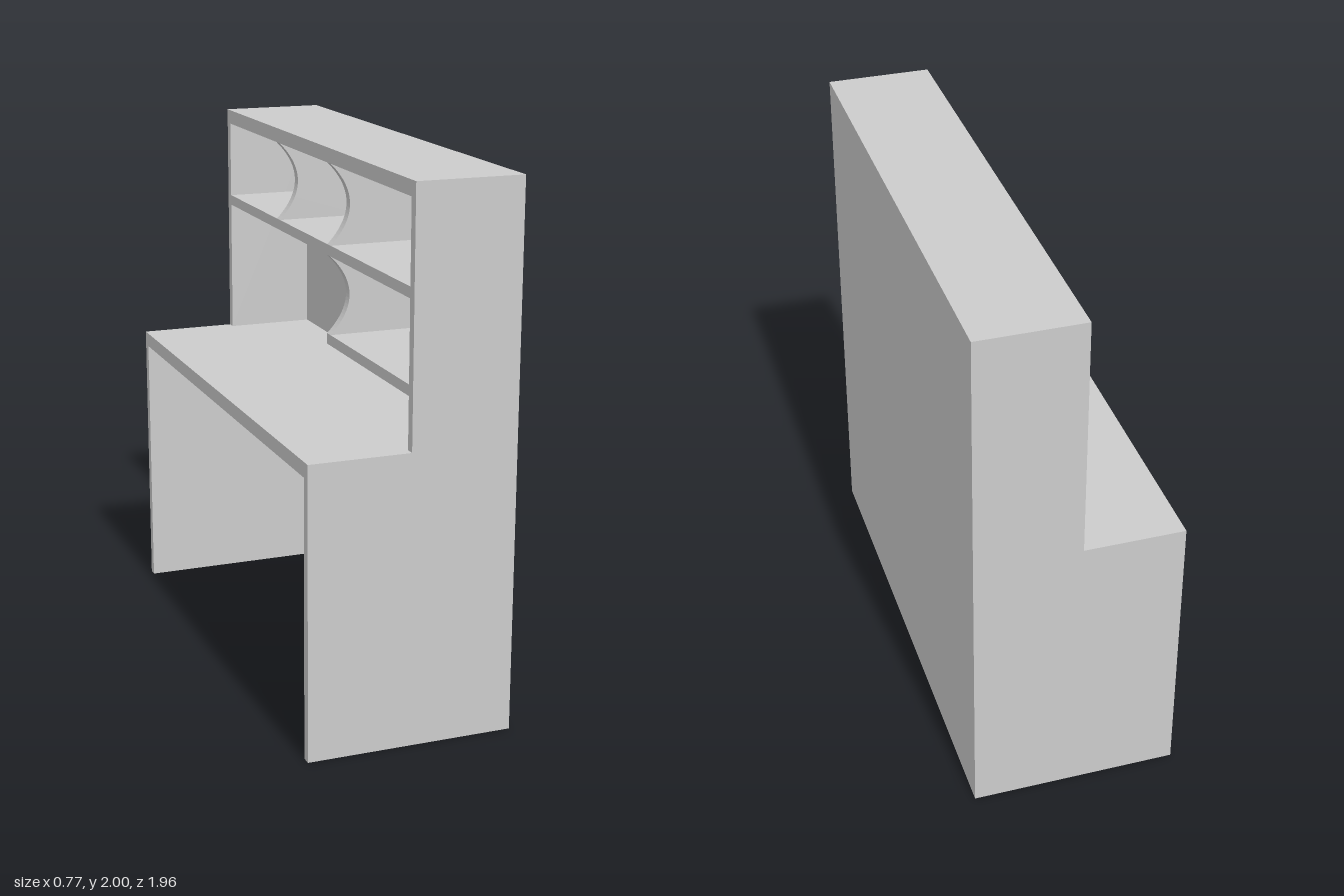
import * as THREE from 'three';

const material = new THREE.MeshStandardMaterial({ color: 0xcccccc });

// Main dimensions; the desk opens toward -x
const BACK = 0.385, HUTCH = -0.01, DESK = -0.385;
const HALF = 0.98, SIDE = 0.035, PANEL = 0.055;
const INNER = HALF - SIDE, WALL = BACK - PANEL;

export function createModel() {
  const group = new THREE.Group();

  const add = (name, geometry) => {
    const mesh = new THREE.Mesh(geometry, material);
    mesh.name = name;
    group.add(mesh);
    return mesh;
  };

  // Box given by its limits on each axis
  const board = (name, x0, x1, y0, y1, z0, z1) =>
    add(name, new THREE.BoxGeometry(x1 - x0, y1 - y0, z1 - z0))
      .position.set((x0 + x1) / 2, (y0 + y1) / 2, (z0 + z1) / 2);

  // Upright cut from an x-y outline, starting at z
  const upright = (name, shape, z, thickness) =>
    add(name, new THREE.ExtrudeGeometry(shape, { depth: thickness, bevelEnabled: false, curveSegments: 24 }))
      .position.z = z;

  // Stepped side panels
  const outline = new THREE.Shape([
    [DESK, 0], [BACK, 0], [BACK, 2], [HUTCH, 2], [HUTCH, 1.08], [DESK, 1.08],
  ].map(([x, y]) => new THREE.Vector2(x, y)));
  upright('leftSidePanel', outline, INNER, SIDE);
  upright('rightSidePanel', outline, -HALF, SIDE);

  // Full-width boards
  board('backPanel', WALL, BACK, 0, 2, -INNER, INNER);
  board('topBoard', HUTCH, WALL, 1.945, 2, -INNER, INNER);
  board('desktop', DESK, WALL, 1.025, 1.08, -INNER, INNER);
  board('upperShelf', HUTCH, WALL, 1.605, 1.645, -INNER, INNER);

  // Short shelf below, on one side only
  board('lowerShelf', HUTCH, WALL, 1.27, 1.31, 0.18, INNER);

  // Dividers with a concave front edge
  const divider = (name, z, y0, y1) => {
    const shape = new THREE.Shape();
    shape.moveTo(HUTCH, y0);
    shape.lineTo(WALL, y0);
    shape.lineTo(WALL, y1);
    shape.lineTo(HUTCH, y1);
    shape.quadraticCurveTo(HUTCH + 0.15, (y0 + y1) / 2, HUTCH, y0);
    upright(name, shape, z, 0.035);
  };
  divider('upperDividerLeft', 0.18, 1.645, 1.945);
  divider('upperDividerRight', -0.37, 1.645, 1.945);
  divider('lowerDivider', 0.18, 1.31, 1.605);

  return group;
}
